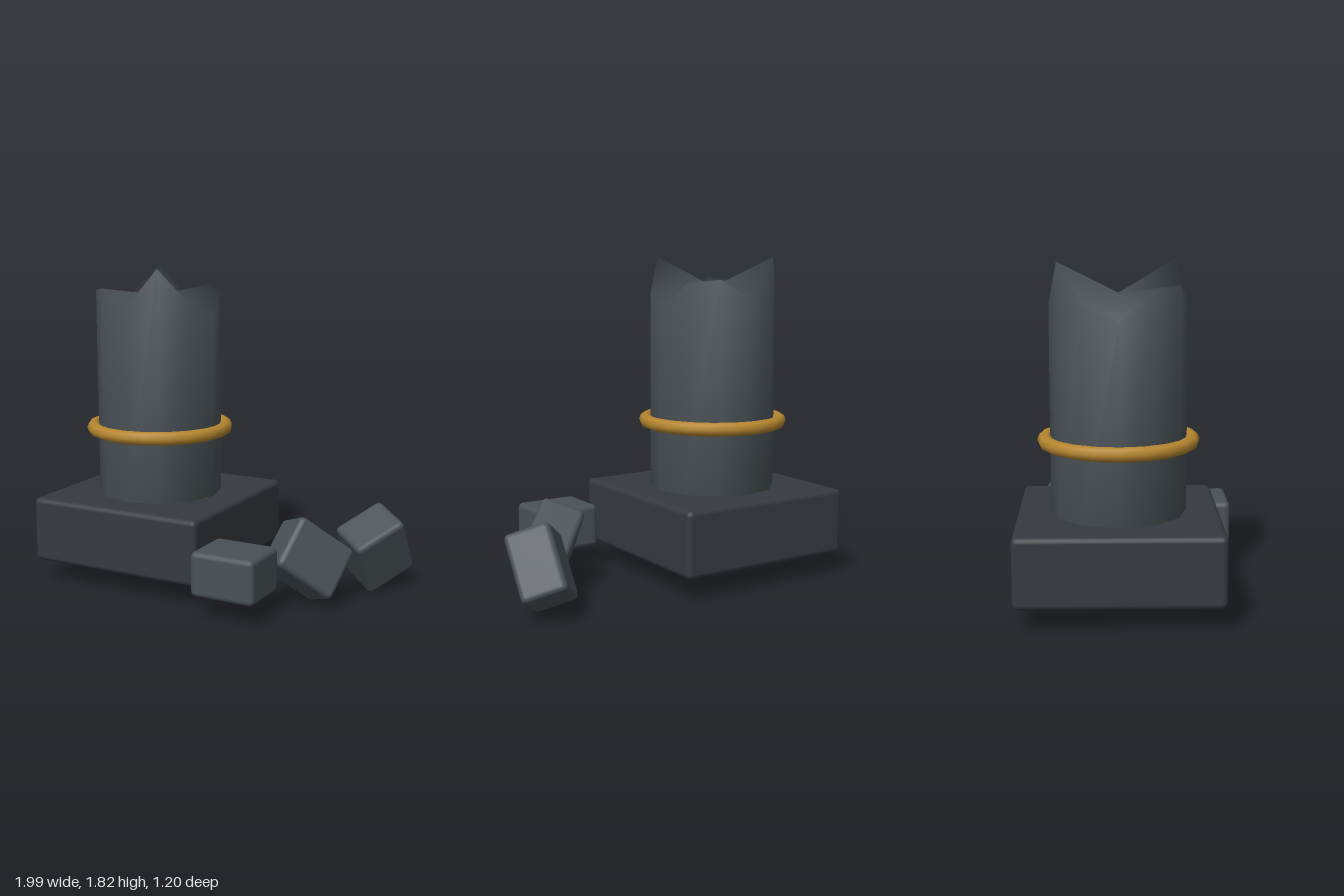
import * as THREE from 'three';
import { mergeVertices } from 'three/addons/utils/BufferGeometryUtils.js';
import { RoundedBoxGeometry } from 'three/addons/geometries/RoundedBoxGeometry.js';

const stone = new THREE.MeshStandardMaterial({ color: 0x4a5257 });
const darkStone = new THREE.MeshStandardMaterial({ color: 0x363a40 });
const gold = new THREE.MeshStandardMaterial({ color: 0xb5862f });

const CX = -0.463, CZ = -0.065; // pillar axis

function addMesh(parent, name, geometry, material, position, rotation = [0, 0, 0]) {
  const mesh = new THREE.Mesh(geometry, material);
  mesh.name = name;
  mesh.position.set(...position);
  mesh.rotation.set(...rotation);
  parent.add(mesh);
  return mesh;
}

// Twelve-sided shaft whose top rim is broken into jagged points
function brokenShaft() {
  const bottom = 0.5, centreTop = 1.655;
  const rim = [1.60, 1.825, 1.625, 1.54, 1.685, 1.705]; // from the front, repeats twice
  const geometry = new THREE.CylinderGeometry(0.361, 0.361, 1, 12);
  const p = geometry.attributes.position;
  for (let i = 0; i < p.count; i++) {
    const x = p.getX(i), z = p.getZ(i);
    if (p.getY(i) < 0) {
      p.setY(i, bottom);
    } else if (Math.hypot(x, z) < 0.01) {
      p.setY(i, centreTop);
    } else {
      const step = Math.round(Math.atan2(x, z) / (Math.PI / 6)) + 12;
      p.setY(i, rim[step % 6]);
    }
  }
  // Shared vertices give soft shading across rim and wall
  geometry.deleteAttribute('normal');
  geometry.deleteAttribute('uv');
  const merged = mergeVertices(geometry, 1e-4);
  merged.computeVertexNormals();
  return merged;
}

export function createModel() {
  const model = new THREE.Group();
  model.name = 'brokenPillar';

  // Square plinth
  addMesh(model, 'plinth', new RoundedBoxGeometry(1.074, 0.375, 1.074, 2, 0.03), darkStone, [CX, 0.3125, CZ]);

  // Broken shaft
  addMesh(model, 'shaft', brokenShaft(), stone, [CX, 0, CZ]);

  // Gold band around the shaft
  addMesh(model, 'band', new THREE.TorusGeometry(0.39, 0.039, 8, 20), gold, [CX, 0.884, CZ], [Math.PI / 2, 0, 0]);

  // Fallen blocks, each tumbled further than the last
  const rubble = new THREE.Group();
  rubble.name = 'rubble';
  const block = new RoundedBoxGeometry(0.375, 0.25, 0.315, 2, 0.03);
  const tumbles = [[0, 0, 0], [0.84, -0.17, -0.87], [0.58, -0.64, -1.57]];
  tumbles.forEach((rotation, i) => {
    addMesh(rubble, `fallenBlock${i + 1}`, block, stone, [0.298 + 0.254 * i, 0.25, 0.441 - 0.381 * i], rotation);
  });
  model.add(rubble);

  return model;
}
